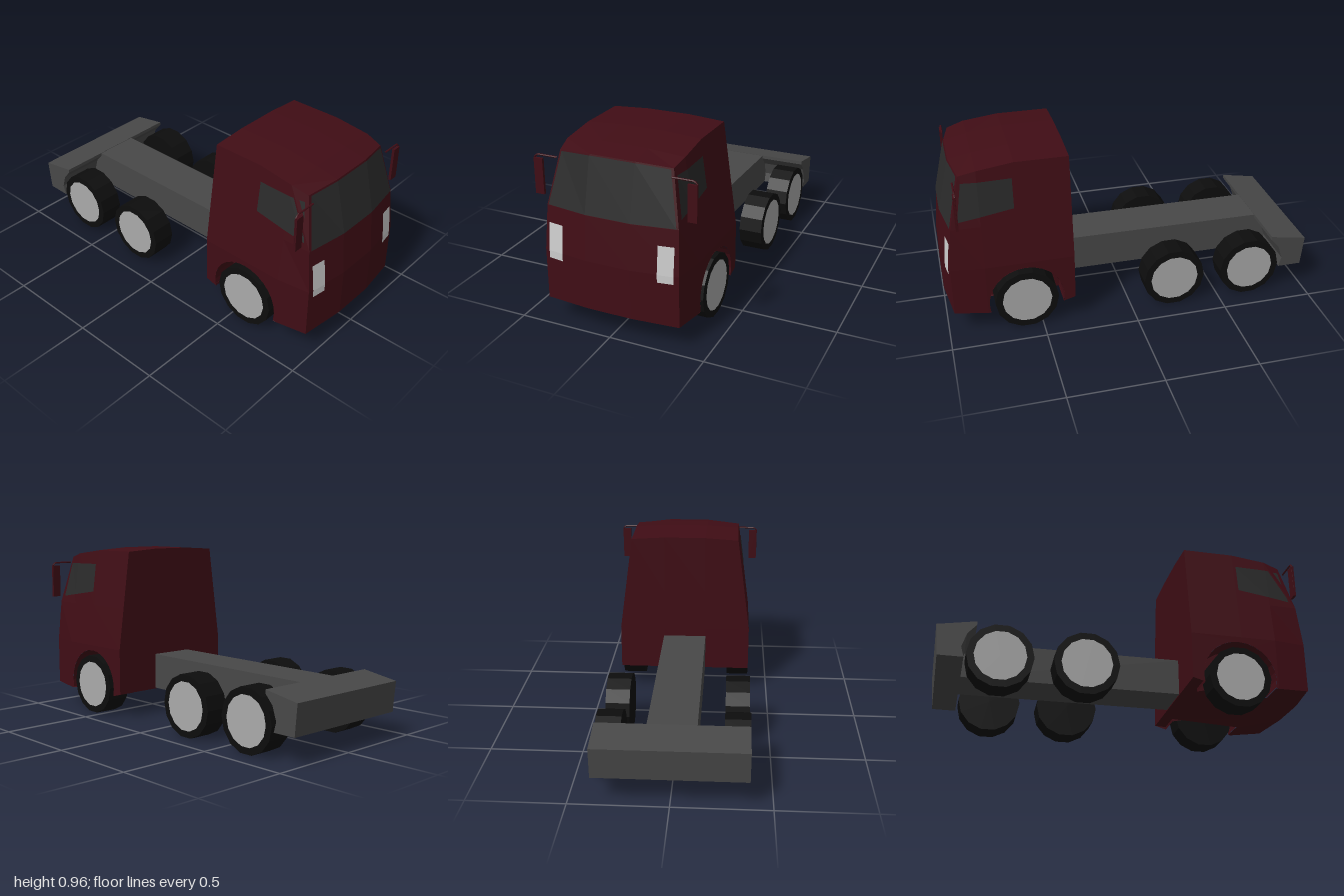
import * as THREE from 'three';

const mat = (color, side = THREE.FrontSide) => new THREE.MeshStandardMaterial({ color, flatShading: true, side });
const RED = 0x400d15;
const red = mat(RED), redThin = mat(RED, THREE.DoubleSide), glass = mat(0x2a2a2a), grey = mat(0x484848);
const rubber = mat(0x0d0d0d), hubGrey = mat(0xaaaaaa), lamp = mat(0xcccccc);

function add(parent, name, geometry, material, x = 0, y = 0, z = 0) {
  const mesh = new THREE.Mesh(geometry, material);
  mesh.name = name;
  mesh.position.set(x, y, z);
  parent.add(mesh);
  return mesh;
}

// Faceted surface through rows of points; normals follow row direction x column direction
function grid(rows, skip = () => false) {
  const pos = [];
  for (let j = 0; j < rows.length - 1; j++) {
    for (let i = 0; i < rows[j].length - 1; i++) {
      if (skip(j, i)) continue;
      const a = rows[j][i], b = rows[j][i + 1], c = rows[j + 1][i + 1], d = rows[j + 1][i];
      pos.push(...a, ...c, ...b, ...a, ...d, ...c);
    }
  }
  const g = new THREE.BufferGeometry();
  g.setAttribute('position', new THREE.Float32BufferAttribute(pos, 3));
  g.computeVertexNormals();
  return g;
}

// Piecewise linear lookup
function table(t, ts, vs) {
  let i = 0;
  while (i < ts.length - 2 && t > ts[i + 1]) i++;
  return THREE.MathUtils.lerp(vs[i], vs[i + 1], (t - ts[i]) / (ts[i + 1] - ts[i]));
}

// Cab dimensions by height
const LEVELS = [0.13, 0.4, 0.63, 0.92];
const BACK = 0.32, SHOULDER = 0.79, FLAT = 0.12;
const sideW = (y) => table(y, [0, 0.4, 0.95], [0.385, 0.385, 0.31]);
const cornerW = (y) => table(y, LEVELS, [0.36, 0.36, 0.35, 0.295]);
const noseZ = (y) => table(y, LEVELS, [1, 1, 0.977, 0.91]);
const cornerZ = (y) => noseZ(y) - 0.035;
const frontZ = (x, y) => {
  const t = Math.max(0, (Math.abs(x) - FLAT) / (cornerW(y) - FLAT));
  return THREE.MathUtils.lerp(noseZ(y), cornerZ(y), t);
};
const sideX = (y, z) => table(z, [BACK, SHOULDER, cornerZ(y)], [sideW(y), sideW(y), cornerW(y)]);
const floorY = (z) => table(z, [BACK, SHOULDER, 1], [0.145, 0.12, 0.14]);

const mirrorRow = (row) => row.map(([x, y, z]) => [-x, y, z]).reverse();

// Outline of the cab at one level, from back centre round the front and back again
function ring(ys) {
  const [y0, y1, y2, y3, y4, y5] = ys;
  const half = [
    [FLAT, y0, BACK], [sideW(y1), y1, BACK], [sideW(y2), y2, 0.6], [sideW(y3), y3, SHOULDER],
    [cornerW(y4), y4, cornerZ(y4)], [FLAT, y5, noseZ(y5)],
  ];
  return [...half, ...mirrorRow(half), half[0]];
}

const ARCH = { z: 0.58, y: 0.17, r: 0.2, dip: 0.22, inner: 0.24 };

function makeCab() {
  const cab = new THREE.Group();
  cab.name = 'cab';

  // Shell, leaving the lower sides open for the wheel arches
  const top = ring([0.962, 0.95, 0.95, 0.925, 0.9, 0.915]);
  const rows = [ring([0.145, 0.145, 0.13, 0.12, 0.13, 0.14]), ring(Array(6).fill(0.4)), ring(Array(6).fill(0.63)), top];
  add(cab, 'cabShell', grid(rows, (j, i) => j === 0 && [1, 2, 8, 9].includes(i)), red);

  // Crowned roof
  const roofRow = (k, yMid, z) => [top[11 - k], [-FLAT, yMid, z], [FLAT, yMid, z], top[k]];
  const roof = [roofRow(1, 0.962, BACK), roofRow(2, 0.962, 0.6), roofRow(3, 0.938, SHOULDER),
    [top[7], top[6], top[5], top[4]]];
  add(cab, 'roof', grid(roof), red);
  for (const s of [1, -1]) {
    const a = top[s > 0 ? 3 : 8], b = top[s > 0 ? 4 : 7];
    const strip = [[a, a], [b, b]];
    add(cab, 'roofCorner', grid(strip), redThin);
  }

  // Floor with notches for the wheels
  const side = [[0.385, BACK], [0.385, 0.385], [ARCH.inner, 0.385], [ARCH.inner, 0.775], [0.385, 0.775],
    [0.385, SHOULDER], [0.36, 0.965], [FLAT, 1]];
  const outline = [...side, ...side.map(([x, z]) => [-x, z]).reverse()];
  const floor = new THREE.ShapeGeometry(new THREE.Shape(outline.map((p) => new THREE.Vector2(...p))));
  floor.rotateX(Math.PI / 2);
  const fp = floor.attributes.position;
  for (let i = 0; i < fp.count; i++) fp.setY(i, floorY(fp.getZ(i)));
  add(cab, 'cabFloor', floor, redThin);

  // Lower side panels, arch linings and inner walls
  const panel = new THREE.Shape();
  panel.moveTo(-BACK, 0.145).lineTo(-BACK, 0.4).lineTo(-SHOULDER, 0.4).lineTo(-SHOULDER, 0.12);
  panel.absarc(-ARCH.z, ARCH.y, ARCH.r, Math.PI + ARCH.dip, -ARCH.dip, true);
  const panelGeo = new THREE.ShapeGeometry(panel, 16).rotateY(Math.PI / 2);
  const depth = 0.385 - ARCH.inner, sweep = Math.PI + 2 * ARCH.dip;
  const lining = new THREE.CylinderGeometry(ARCH.r, ARCH.r, depth, 16, 1, true, -ARCH.dip, sweep).rotateZ(Math.PI / 2);
  const wall = new THREE.CircleGeometry(ARCH.r, 16, -ARCH.dip, sweep).rotateY(Math.PI / 2);
  for (const s of [1, -1]) {
    add(cab, 'lowerSidePanel', panelGeo, redThin, s * 0.385);
    add(cab, 'wheelArchLining', lining, redThin, s * (ARCH.inner + depth / 2), ARCH.y, ARCH.z);
    add(cab, 'wheelArchWall', wall, redThin, s * ARCH.inner, ARCH.y, ARCH.z);
  }

  // Windscreen
  const screenRow = (w, yEdge, yMid) => [[w, yEdge], [FLAT, yMid], [-FLAT, yMid], [-w, yEdge]]
    .map(([x, y]) => [x, y, frontZ(x, y) + 0.004]);
  add(cab, 'windscreen', grid([screenRow(0.34, 0.633, 0.633), screenRow(0.288, 0.895, 0.909)]), glass);

  // Side windows and headlights
  const windowRow = (pts) => pts.map(([z, y]) => [sideX(y, z) + 0.003, y, z]);
  const windowRows = [windowRow([[0.615, 0.71], [SHOULDER, 0.683], [0.905, 0.665]]),
    windowRow([[0.615, 0.87], [SHOULDER, 0.867], [0.87, 0.865]])];
  const lampRows = [0.36, 0.4, 0.545].map((y) => [0.335, 0.255].map((x) => [x, y, frontZ(x, y) + 0.004]));
  for (const s of [1, -1]) {
    const flip = (r) => (s > 0 ? r : r.map(mirrorRow));
    add(cab, 'sideWindow', grid(flip(windowRows)), glass);
    add(cab, 'headlight', grid(flip(lampRows)), lamp);
  }

  // Door mirrors on bent arms
  for (const s of [1, -1]) {
    const path = new THREE.CurvePath();
    const pts = [[0.3, 0.868], [0.412, 0.868], [0.426, 0.855], [0.426, 0.7]]
      .map(([x, y]) => new THREE.Vector3(s * x, y, 0.908));
    for (let i = 0; i < 3; i++) path.add(new THREE.LineCurve3(pts[i], pts[i + 1]));
    add(cab, 'mirrorArm', new THREE.TubeGeometry(path, 24, 0.005, 6), red);
    add(cab, 'doorMirror', new THREE.BoxGeometry(0.048, 0.185, 0.014), red, s * 0.405, 0.758, 0.91);
  }
  return cab;
}

// Side profile (z, y) extruded across the full width
function crossBlock(points, width) {
  const shape = new THREE.Shape(points.map(([z, y]) => new THREE.Vector2(-z, y)));
  return new THREE.ExtrudeGeometry(shape, { depth: width, bevelEnabled: false })
    .translate(0, 0, -width / 2).rotateY(Math.PI / 2);
}

function makeWheel(s, z) {
  const wheel = new THREE.Group();
  wheel.name = 'wheel';
  wheel.position.set(s * 0.322, 0.17, z);
  add(wheel, 'tyre', new THREE.CylinderGeometry(0.17, 0.17, 0.13, 14).rotateZ(Math.PI / 2), rubber);
  add(wheel, 'hub', new THREE.CircleGeometry(0.133, 14).rotateY(s * Math.PI / 2), hubGrey, s * 0.067);
  return wheel;
}

export function createModel() {
  const truck = new THREE.Group();
  truck.name = 'truck';
  truck.add(makeCab());

  // Chassis beam and rear cross block curved round the last wheels
  add(truck, 'chassisBeam', crossBlock([[0.33, 0.15], [0.33, 0.35], [-0.8, 0.343], [-0.88, 0.325], [-0.88, 0.145]], 0.25), grey);
  add(truck, 'rearBlock', crossBlock([[-0.8, 0.345], [-1, 0.31], [-0.985, 0.145], [-0.855, 0.145],
    [-0.87, 0.2], [-0.845, 0.275], [-0.8, 0.325]], 0.77), grey);

  for (const z of [0.58, -0.237, -0.675]) for (const s of [1, -1]) truck.add(makeWheel(s, z));
  return truck;
}
